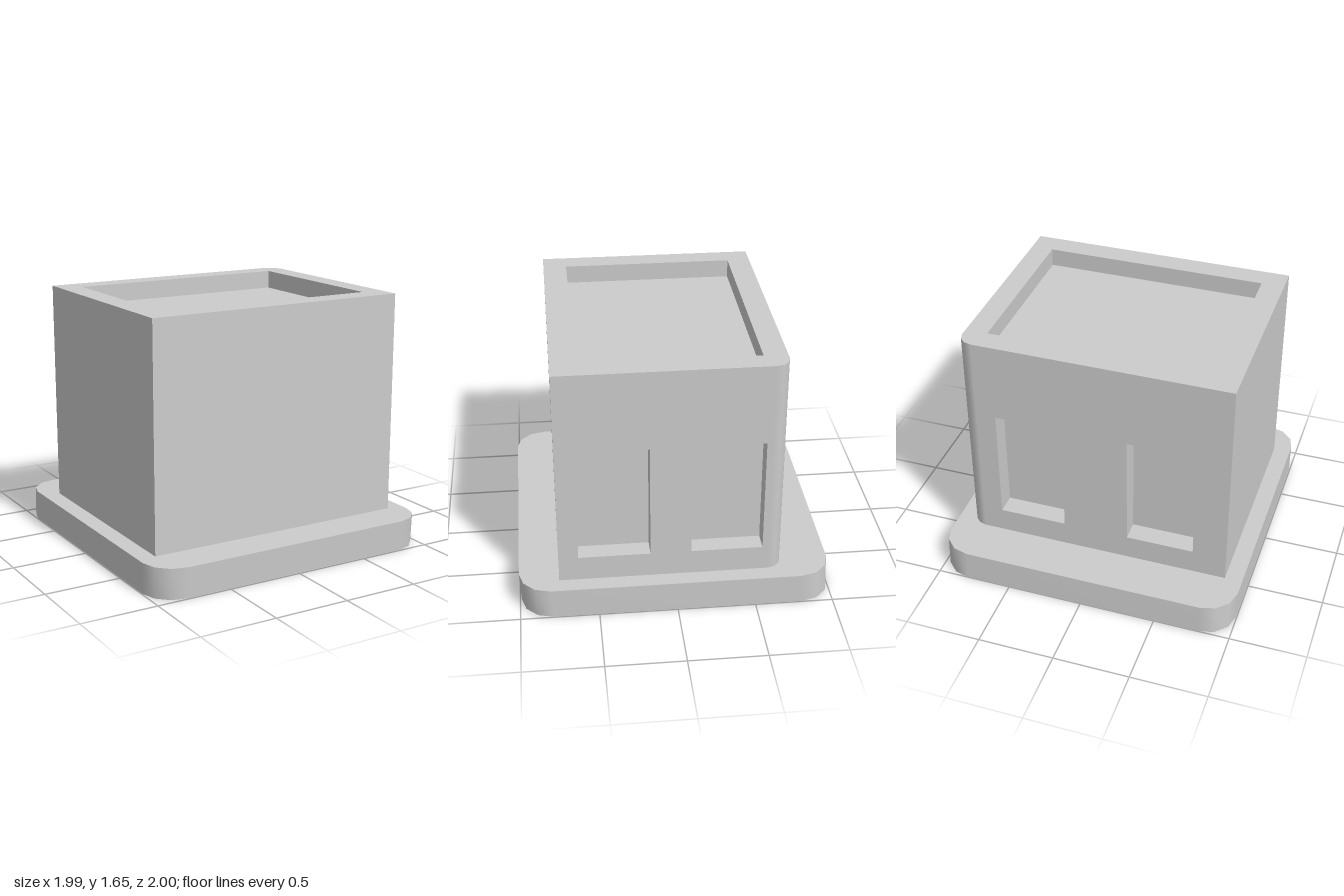
import * as THREE from 'three';

const material = new THREE.MeshStandardMaterial({ color: 0xcccccc, side: THREE.DoubleSide });

function mesh(name, geometry) {
  const m = new THREE.Mesh(geometry, material);
  m.name = name;
  return m;
}

// Points of a quarter circle, in three segments
const quarter = (cx, cy, r, start) => [0, 1, 2, 3].map((i) => {
  const a = start + (i * Math.PI) / 6;
  return new THREE.Vector2(cx + r * Math.cos(a), cy + r * Math.sin(a));
});

const rect = (x0, x1, y0, y1) =>
  [[x0, y0], [x1, y0], [x1, y1], [x0, y1]].map(([x, y]) => new THREE.Vector2(x, y));

// Flat panel facing +z, with open-fronted pockets sunk into it
function panel(name, outline, pockets = [], depth = 0) {
  const group = new THREE.Group();
  group.name = name;
  const shape = new THREE.Shape(outline);
  for (const [x0, x1, y0, y1] of pockets) {
    shape.holes.push(new THREE.Path(rect(x0, x1, y0, y1)));
    const box = new THREE.BoxGeometry(x1 - x0, y1 - y0, depth);
    const index = Array.from(box.index.array);
    index.splice(24, 6); // drop the front face
    box.setIndex(index);
    box.clearGroups();
    box.translate((x0 + x1) / 2, (y0 + y1) / 2, -depth / 2);
    group.add(mesh(name + 'Recess', box));
  }
  group.add(mesh(name + 'Face', new THREE.ShapeGeometry(shape)));
  return group;
}

// Rounded base: top plate and a skirt that is open underneath
function createBase(height) {
  const base = new THREE.Group();
  base.name = 'base';
  const r = 0.2, hx = 0.995, y0 = -1, y1 = 0.99;
  const outline = [
    ...quarter(hx - r, y1 - r, r, 0),
    ...quarter(-hx + r, y1 - r, r, Math.PI / 2),
    ...quarter(-hx + r, y0 + r, r, Math.PI),
    ...quarter(hx - r, y0 + r, r, Math.PI * 1.5),
  ];
  const top = new THREE.ShapeGeometry(new THREE.Shape(outline));
  top.rotateX(-Math.PI / 2).translate(0, height, 0);
  base.add(mesh('baseTop', top));

  const position = [], index = [], n = outline.length;
  outline.forEach((p, i) => {
    // the skirt leans slightly to the back
    position.push(p.x, height, -p.y, p.x, 0, -p.y - 0.01);
    const a = 2 * i, d = 2 * ((i + 1) % n);
    index.push(a, a + 1, d + 1, a, d + 1, d);
  });
  const skirt = new THREE.BufferGeometry();
  skirt.setAttribute('position', new THREE.Float32BufferAttribute(position, 3));
  skirt.setIndex(index);
  skirt.computeVertexNormals();
  base.add(mesh('baseSkirt', skirt));
  return base;
}

export function createModel() {
  const model = new THREE.Group();
  model.name = 'building';
  const floor = 0.2, roofY = 1.655;
  const left = -0.88, right = 0.885, front = 0.745, back = -0.68, r = 0.095;
  const sill = 0.365, lintel = 1.13;

  model.add(createBase(floor));

  const frontWall = panel('frontWall', rect(left, right, floor, roofY));
  frontWall.position.z = front;

  const plainWall = panel('plainSideWall', rect(back, front, floor, roofY));
  plainWall.rotation.y = -Math.PI / 2;
  plainWall.position.x = left;

  // Two walls with a pair of window recesses each
  const windowWall = panel('windowSideWall', rect(-front, -back - r, floor, roofY),
    [[-0.62, -0.165, sill, lintel], [0.095, 0.55, sill, lintel]], 0.125);
  windowWall.rotation.y = Math.PI / 2;
  windowWall.position.x = right;

  const backWall = panel('backWall', rect(-right + r, -left, floor, roofY),
    [[-0.66, -0.215, sill, lintel], [0.215, 0.66, sill, lintel]], 0.135);
  backWall.rotation.y = Math.PI;
  backWall.position.z = back;

  // Rounded corner between the two window walls
  const corner = mesh('roundedCorner', new THREE.CylinderGeometry(
    r, r, roofY - floor, 3, 1, true, Math.PI / 2, Math.PI / 2));
  corner.position.set(right - r, (floor + roofY) / 2, back + r);

  // Roof rim around a sunken flat roof
  const roof = panel('roof', [
    new THREE.Vector2(left, -front), new THREE.Vector2(right, -front),
    ...quarter(right - r, -back - r, r, 0), new THREE.Vector2(left, -back),
  ], [[-0.73, 0.74, -0.59, 0.53]], 0.12);
  roof.rotation.x = -Math.PI / 2;
  roof.position.y = roofY;

  model.add(frontWall, plainWall, windowWall, backWall, corner, roof);
  return model;
}
